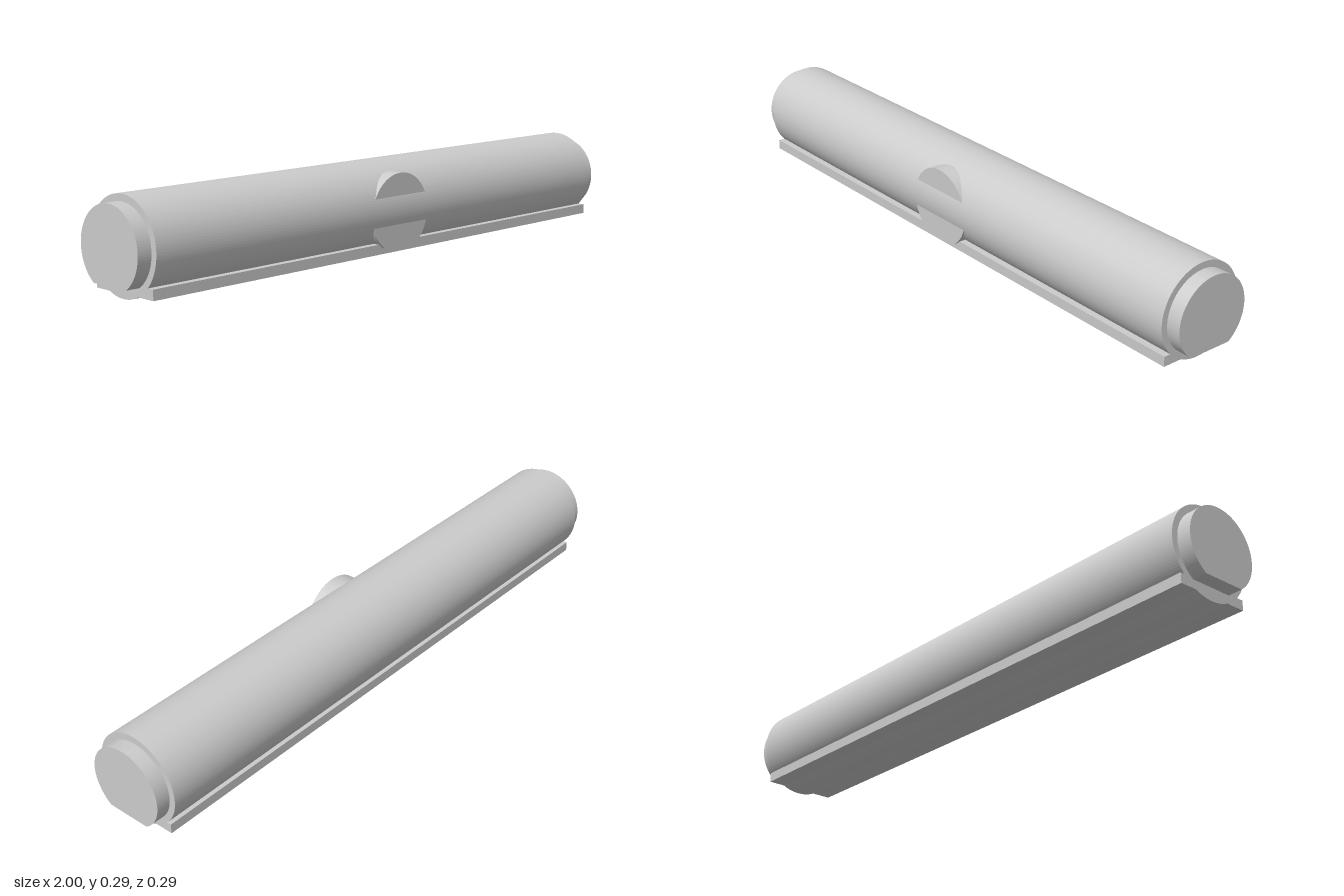
import * as THREE from 'three';

const material = new THREE.MeshStandardMaterial({ color: 0xcccccc, flatShading: true });
const R = 0.143, CY = 0.145;                 // main tube radius and axis height
const PLUG_R = 0.123, PLUG_FLAT = -0.101;    // round plug with a flat cut below its centre

// Extrudes a shape by depth, centred on its own middle plane.
function prism(name, shape, depth, curveSegments) {
  const geometry = new THREE.ExtrudeGeometry(shape, { depth, bevelEnabled: false, curveSegments });
  geometry.translate(0, 0, -depth / 2);
  const mesh = new THREE.Mesh(geometry, material);
  mesh.name = name;
  return mesh;
}

// Tube outline merged with the flat rail passing through its lower side.
function bodyOutline() {
  const top = -0.098, bottom = -0.129, front = -0.126, back = 0.118;
  const a = Math.asin(top / R), b = Math.asin(bottom / R);
  const s = new THREE.Shape();
  s.absarc(0, 0, R, a, Math.PI - a, false);
  s.lineTo(front, top);
  s.lineTo(front, bottom);
  s.absarc(0, 0, R, Math.PI - b, Math.PI * 2 + b, false);
  s.lineTo(back, bottom);
  s.lineTo(back, top);
  s.closePath();
  return s;
}

// Circle with its lower segment cut off.
function plugOutline() {
  const a = Math.asin(PLUG_FLAT / PLUG_R);
  const s = new THREE.Shape();
  s.absarc(0, 0, PLUG_R, a, Math.PI - a, false);
  s.closePath();
  return s;
}

export function createModel() {
  const group = new THREE.Group();
  group.name = 'railedTube';

  const body = prism('tubeWithRail', bodyOutline(), 1.91, 40);
  body.rotation.y = Math.PI / 2;
  body.position.y = CY;
  group.add(body);

  // Flat-bottomed plugs stepping out of both ends
  for (const side of [-1, 1]) {
    const plug = prism(side > 0 ? 'leftEndPlug' : 'rightEndPlug', plugOutline(), 0.1, 40);
    plug.rotation.y = Math.PI / 2;
    plug.position.set(side * 0.95, CY - 0.001, 0);
    group.add(plug);
  }

  // Matching boss half sunk into the front of the tube
  const boss = prism('frontBoss', plugOutline(), 0.09, 40);
  boss.position.set(-0.008, 0.136, 0.091);
  group.add(boss);

  return group;
}
